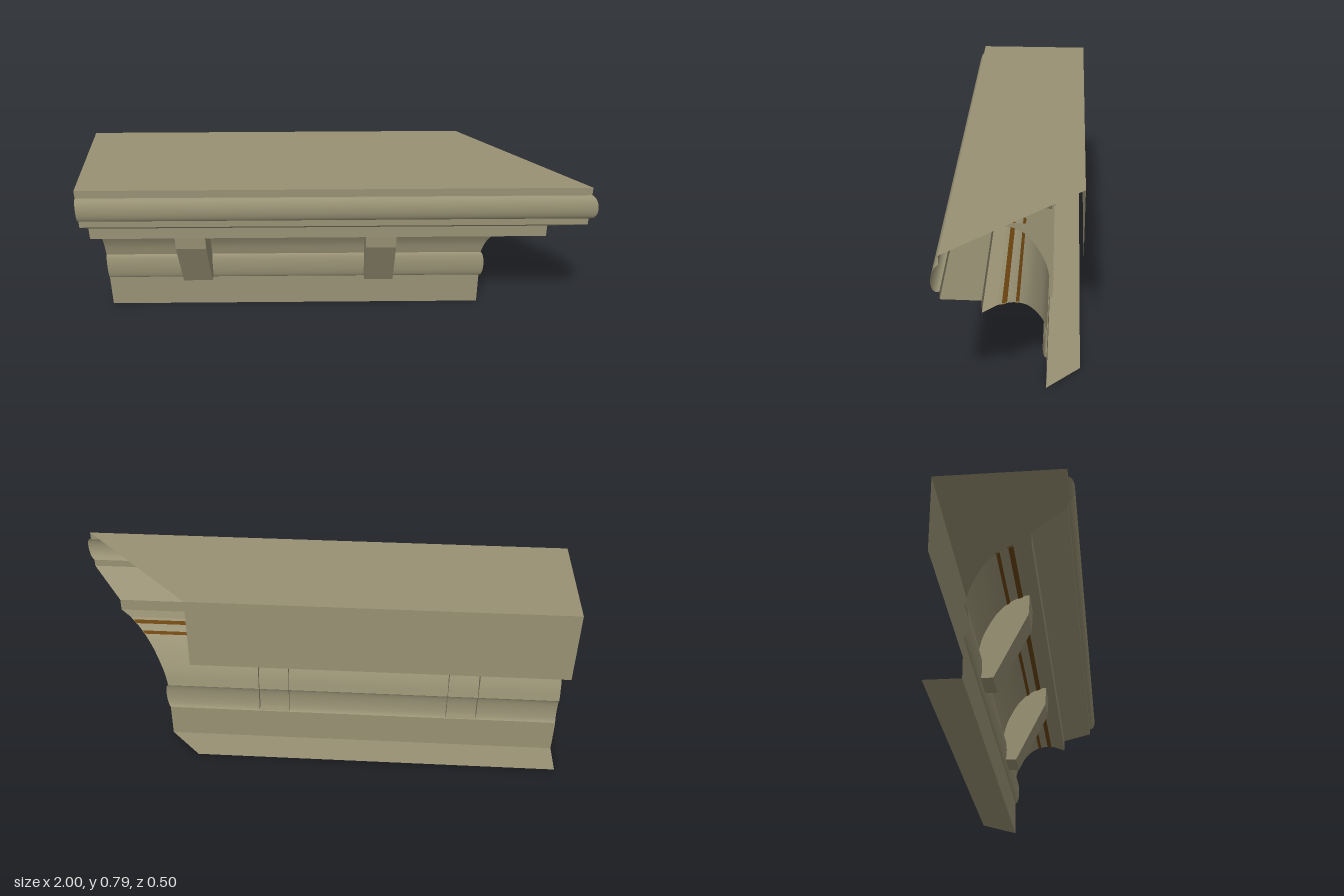
import * as THREE from 'three';

const stone = new THREE.MeshStandardMaterial({ color: 0x989174, side: THREE.DoubleSide });
stone.name = 'stone';
const brown = new THREE.MeshStandardMaterial({ color: 0x6b4410, side: THREE.DoubleSide });
brown.name = 'dark brown';

const END = -1;       // square end
const MITRE = 0.75;   // mitred end follows x = z + MITRE

// Strip running along x through [z, y] profile points; smooth inside one strip
function strip(name, points, material = stone) {
  const pos = [], index = [];
  points.forEach(([z, y], i) => {
    pos.push(END, y, z, z + MITRE, y, z);
    if (i) {
      const a = 2 * i - 2, b = 2 * i;
      index.push(a, b, a + 1, b, b + 1, a + 1);
    }
  });
  const g = new THREE.BufferGeometry();
  g.setAttribute('position', new THREE.Float32BufferAttribute(pos, 3));
  g.setIndex(index);
  g.computeVertexNormals();
  const mesh = new THREE.Mesh(g, material);
  mesh.name = name;
  return mesh;
}

// Rounded bead bulging forward between two heights
function bead(z, top, bottom, bulge, n = 12) {
  const pts = [];
  for (let i = 0; i <= n; i++) {
    const t = i / n;
    pts.push([z + bulge * Math.sin(Math.PI * t), top + (bottom - top) * (1 - Math.cos(Math.PI * t)) / 2]);
  }
  return pts;
}

// Hollow bracket, open at the back and top
function bracket(x0, x1) {
  const group = new THREE.Group();
  group.name = 'bracket';
  const side = [[-0.135, 0.505], [0.065, 0.505], [0.06, 0.412], [-0.065, 0.163], [-0.135, 0.163]];
  // Side cheeks: shape x becomes -z after turning
  const shape = new THREE.Shape(side.map(([z, y]) => new THREE.Vector2(-z, y)));
  for (const x of [x0, x1]) {
    const g = new THREE.ShapeGeometry(shape);
    g.rotateY(Math.PI / 2);
    if (x === x0) {
      // Reverse the outer cheek so it faces -x
      const idx = Array.from(g.index.array).reverse();
      g.setIndex(idx);
      g.computeVertexNormals();
    }
    g.translate(x, 0, 0);
    const cheek = new THREE.Mesh(g, stone);
    cheek.name = 'bracketCheek';
    group.add(cheek);
  }
  // Front, slope and underside
  for (let i = 1; i < 4; i++) {
    const [za, ya] = side[i], [zb, yb] = side[i + 1];
    const g = new THREE.BufferGeometry();
    g.setAttribute('position', new THREE.Float32BufferAttribute(
      [x0, ya, za, x0, yb, zb, x1, ya, za, x1, yb, zb], 3));
    g.setIndex([0, 1, 2, 1, 3, 2]);
    g.computeVertexNormals();
    const face = new THREE.Mesh(g, stone);
    face.name = 'bracketFace';
    group.add(face);
  }
  return group;
}

export function createModel() {
  const model = new THREE.Group();
  model.name = 'cornice';

  // Flat bands, from the back panel over the top and down to the base
  const flats = {
    backPanel: [[-0.25, 0.485], [-0.25, 0.79]],
    top: [[-0.25, 0.79], [0.225, 0.79]],
    upperFillet: [[0.225, 0.79], [0.225, 0.757]],
    lowerFillet: [[0.225, 0.655], [0.225, 0.625]],
    slopedSoffit: [[0.225, 0.625], [0.1, 0.54]],
    fascia: [[0.1, 0.54], [0.1, 0.49]],
    soffit: [[0.1, 0.49], [0.05, 0.49]],
    frieze: [[-0.12, 0.145], [-0.12, 0]],
    base: [[-0.12, 0], [-0.25, 0]],
  };
  for (const [name, pts] of Object.entries(flats)) model.add(strip(name, pts));

  // Rounded mouldings
  model.add(strip('crownBead', bead(0.225, 0.757, 0.655, 0.025)));
  model.add(strip('lowerBead', bead(-0.12, 0.265, 0.145, 0.015)));

  // Cove, with two narrow dark lines near its top
  const curve = new THREE.SplineCurve([
    [0.05, 0.49], [0.01, 0.475], [-0.02, 0.456], [-0.055, 0.42],
    [-0.085, 0.37], [-0.107, 0.32], [-0.12, 0.265],
  ].map(([z, y]) => new THREE.Vector2(z, y)));
  const cove = curve.getPoints(48).map(p => [p.x, p.y]);
  model.add(strip('cove', cove));
  const line = (a, b) => cove.slice(a, b).map(([z, y]) => [z, y]);
  for (const [a, b] of [[3, 7], [13, 17]]) {
    // Thin plates just in front of and behind the cove surface
    for (const d of [0.002, -0.002])
      model.add(strip('darkLine', line(a, b).map(([z, y]) => [z + d, y - d]), brown));
  }

  // Brackets
  for (const x of [-0.665, 0.12]) model.add(bracket(x, x + 0.125));
  return model;
}
